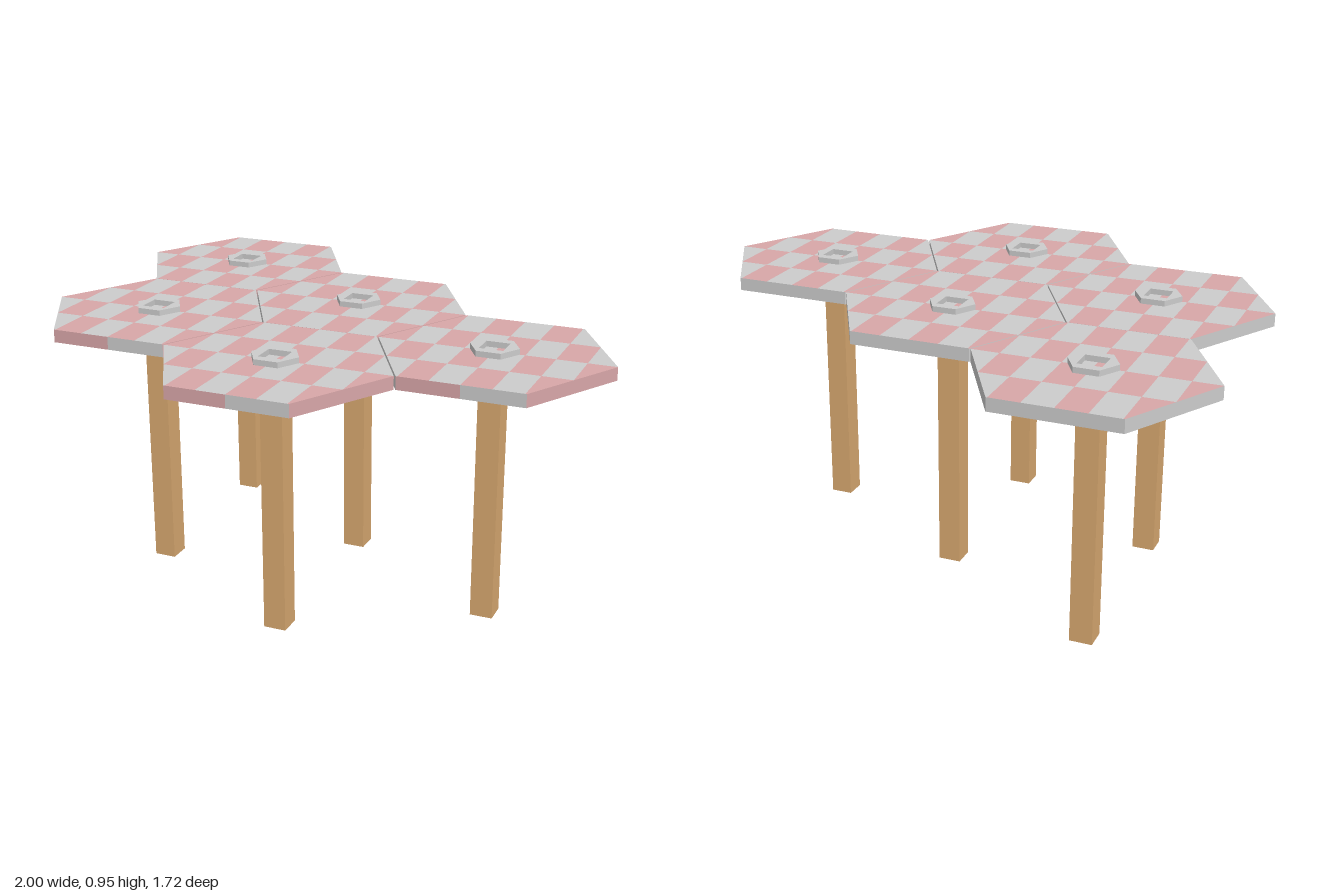
import * as THREE from 'three';

const TOP = 0.928, BOTTOM = 0.884;              // table slab
const HALF_W = 0.395, HALF_SIDE = 0.205, HALF_D = 0.344;
const CENTRES = [[-0.605, -0.517], [-0.605, 0.172], [0, -0.172], [0, 0.517], [0.605, 0.172]];

const grey = new THREE.MeshStandardMaterial({ color: 0xcccccc, flatShading: true });
const pink = new THREE.MeshStandardMaterial({ color: 0xd8a6a8, flatShading: true });
const wood = new THREE.MeshStandardMaterial({ color: 0xd8a870, flatShading: true });

// adds a quad to a list, wound so that it faces along the given direction
function addQuad(list, pts, facing) {
  const v = pts.map((p) => new THREE.Vector3(...p));
  const n = v[2].clone().sub(v[0]).cross(v[3].clone().sub(v[1]));
  if (n.dot(new THREE.Vector3(...facing)) < 0) v.reverse();
  for (const i of [0, 1, 2, 0, 2, 3]) list.push(v[i].x, v[i].y, v[i].z);
}

function meshFrom(list, material, name) {
  const g = new THREE.BufferGeometry();
  g.setAttribute('position', new THREE.Float32BufferAttribute(list, 3));
  g.computeVertexNormals();
  const m = new THREE.Mesh(g, material);
  m.name = name;
  return m;
}

// half width of the hexagon at a depth from its centre
const widthAt = (z) => THREE.MathUtils.lerp(HALF_W, HALF_SIDE, z / HALF_D);

// one hexagonal slab with chequered faces
function makeSlab() {
  const lists = [[], []];
  for (const y of [TOP, BOTTOM])
    for (const sx of [1, -1])
      for (const sz of [1, -1])
        for (let row = 0; row < 2; row++)
          for (let col = 0; col < 4; col++) {
            const z0 = row * HALF_D / 2, z1 = z0 + HALF_D / 2;
            const a = col * 0.1, b = a + 0.1;
            if (a >= widthAt(z0) - 0.001) continue;
            const x0 = Math.min(b, widthAt(z0));
            const x1 = Math.max(a, Math.min(b, widthAt(z1)));
            const c = sx > 0 ? col : -1 - col, r = sz > 0 ? row : -1 - row;
            addQuad(lists[Math.abs(c + r) % 2],
              [[a, z0], [x0, z0], [x1, z1], [a, z1]].map(([x, z]) => [sx * x, y, sz * z]),
              [0, y === TOP ? 1 : -1, 0]);
          }
  // rim faces: start, end, colour
  const rim = [
    [[-HALF_W, 0], [-HALF_SIDE, HALF_D], 0],
    [[-HALF_SIDE, HALF_D], [0, HALF_D], 1],
    [[0, HALF_D], [HALF_SIDE, HALF_D], 0],
    [[HALF_SIDE, HALF_D], [HALF_W, 0], 1],
    [[HALF_W, 0], [HALF_SIDE, -HALF_D], 0],
    [[HALF_SIDE, -HALF_D], [-HALF_SIDE, -HALF_D], 0],
    [[-HALF_SIDE, -HALF_D], [-HALF_W, 0], 0],
  ];
  for (const [p, q, k] of rim)
    addQuad(lists[k],
      [[p[0], BOTTOM, p[1]], [q[0], BOTTOM, q[1]], [q[0], TOP, q[1]], [p[0], TOP, p[1]]],
      [p[0] + q[0], 0, p[1] + q[1]]);
  const slab = new THREE.Group();
  slab.name = 'hexagonSlab';
  slab.add(meshFrom(lists[0], grey, 'greyChecks'), meshFrom(lists[1], pink, 'pinkChecks'));
  return slab;
}

// hexagonal collar with a square socket, passing through the slab
function makeCollar() {
  const hex = [];
  for (let i = 0; i < 6; i++)
    hex.push(new THREE.Vector2(0.082 * Math.cos(i * Math.PI / 3), 0.082 * Math.sin(i * Math.PI / 3)));
  const shape = new THREE.Shape(hex);
  const h = 0.04;
  shape.holes.push(new THREE.Path([[-h, -h], [-h, h], [h, h], [h, -h]].map((p) => new THREE.Vector2(...p))));
  const g = new THREE.ExtrudeGeometry(shape, { depth: 0.087, bevelEnabled: false });
  g.rotateX(-Math.PI / 2).translate(0, 0.86, 0);
  const collar = new THREE.Mesh(g, grey);
  collar.name = 'collar';
  return collar;
}

function makeLeg() {
  const leg = new THREE.Mesh(new THREE.BoxGeometry(0.077, 0.9, 0.077), wood);
  leg.position.y = 0.45;
  leg.name = 'leg';
  return leg;
}

export function createModel() {
  const table = new THREE.Group();
  table.name = 'hexagonTable';
  for (const [x, z] of CENTRES) {
    const module = new THREE.Group();
    module.name = 'tableSection';
    module.add(makeSlab(), makeCollar(), makeLeg());
    module.position.set(x, 0, z);
    table.add(module);
  }
  return table;
}
